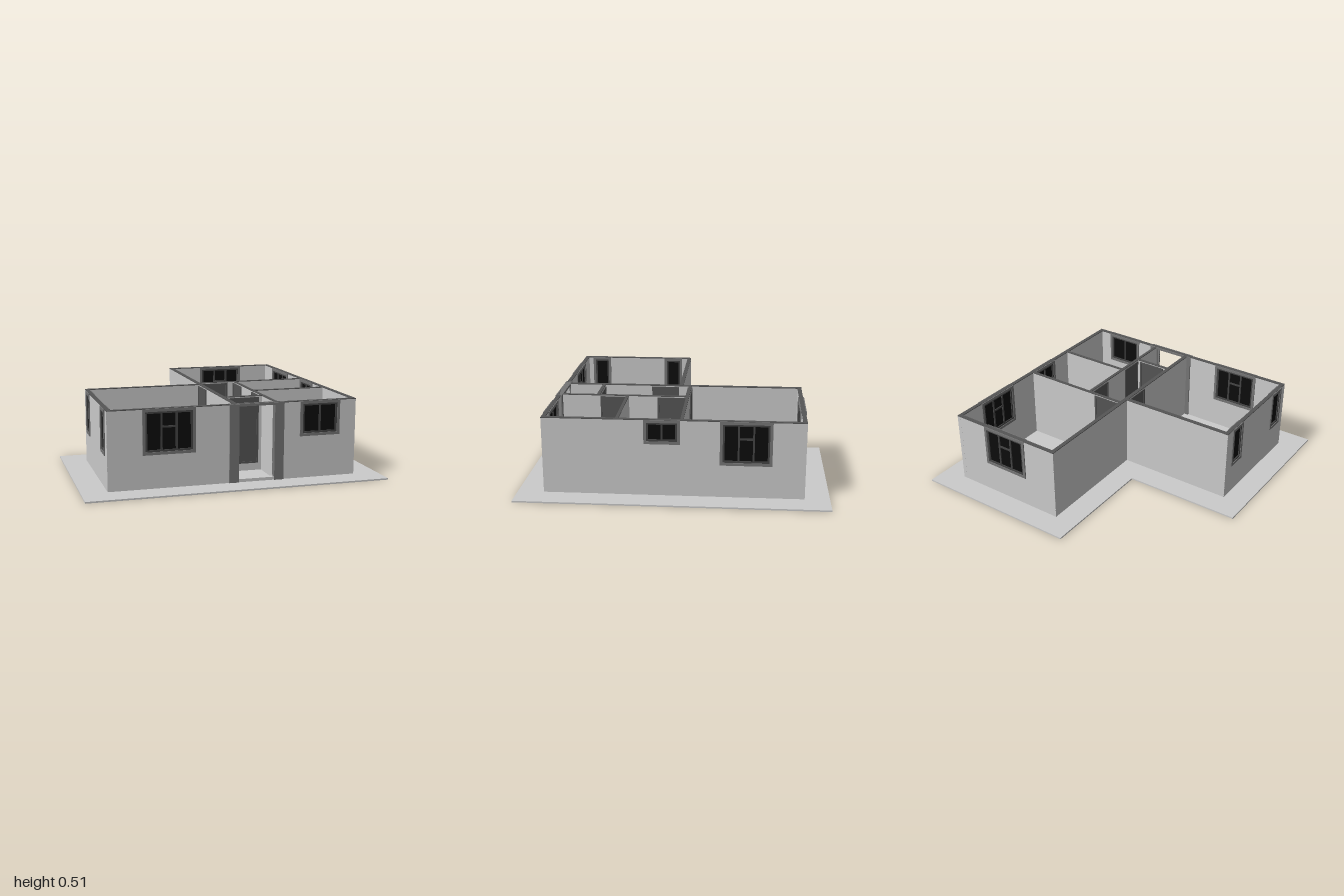
import * as THREE from 'three';

const TOP = 0.515, FLOOR = 0.01, CAP = 0.005;
const mat = (color) => new THREE.MeshStandardMaterial({ color, flatShading: true });

export function createModel() {
  const house = new THREE.Group();
  house.name = 'house';
  const plaster = mat(0xcccccc), capMat = mat(0x555555), trim = mat(0x757575);
  const sash = mat(0x444444), glass = mat(0x0c0c0c), doorMat = mat(0x555555);

  const add = (parent, name, geo, material) => {
    const mesh = new THREE.Mesh(geo, material);
    mesh.name = name;
    parent.add(mesh);
    return mesh;
  };
  // Box given by its u and y limits, centred in the wall thickness
  const panel = (parent, name, u0, u1, y0, y1, depth, material) => {
    const m = add(parent, name, new THREE.BoxGeometry(u1 - u0, y1 - y0, depth), material);
    m.position.set((u0 + u1) / 2, (y0 + y1) / 2, 0);
    return m;
  };
  const rect = (Type, u0, u1, y0, y1) => new Type([
    new THREE.Vector2(u0, y0), new THREE.Vector2(u1, y0),
    new THREE.Vector2(u1, y1), new THREE.Vector2(u0, y1)]);
  // Rectangular plate with rectangular holes, centred in depth
  const plate = (outer, holes, depth) => {
    const shape = rect(THREE.Shape, ...outer);
    holes.forEach((h) => shape.holes.push(rect(THREE.Path, ...h)));
    return new THREE.ExtrudeGeometry(shape, { depth, bevelEnabled: false }).translate(0, 0, -depth / 2);
  };

  // Window: outer trim, sash with panes, dark glass
  function addWindow(wall, { u0, u1, y0, panes }, t) {
    const g = new THREE.Group();
    g.name = 'window';
    wall.add(g);
    const y1 = TOP - 0.002, b = 0.018, s = 0.012;
    const inner = [u0 + b, u1 - b, y0 + b, y1 - b];
    add(g, 'windowTrim', plate([u0, u1, y0, y1], [inner], t + 0.014), trim);
    const a0 = inner[0] + s, a1 = inner[1] - s, b0 = inner[2] + s, b1 = inner[3] - s;
    const w = (a1 - a0 - s * (panes - 1)) / panes;
    const holes = [];
    for (let i = 0; i < panes; i++) {
      const p = a0 + i * (w + s);
      if (panes === 3 && i === 1) {
        const split = b0 + (b1 - b0) * 0.63;
        holes.push([p, p + w, b0, split - s / 2], [p, p + w, split + s / 2, b1]);
      } else holes.push([p, p + w, b0, b1]);
    }
    add(g, 'windowSash', plate(inner, holes, t + 0.004), sash);
    panel(g, 'windowGlass', ...inner, t * 0.6, glass);
  }

  // Inner door: closed leaf inside a narrow frame
  function addDoor(wall, { u0, u1, y0, y1 }, t) {
    const g = new THREE.Group();
    g.name = 'innerDoor';
    wall.add(g);
    const b = 0.012;
    add(g, 'doorFrame', plate([u0, u1, y0, y1], [[u0 + b, u1 - b, y0 + b, y1 - b]], t + 0.014), doorMat);
    panel(g, 'doorLeaf', u0 + b, u1 - b, y0 + b, y1 - b, t + 0.006, doorMat);
  }

  // Open entrance with wide jambs, thin lintel and a sill
  function addEntrance(wall, { u0, u1, y0, y1 }, t) {
    const g = new THREE.Group();
    g.name = 'entrance';
    wall.add(g);
    panel(g, 'jamb', u0 - 0.063, u0, FLOOR, TOP, t + 0.016, trim);
    panel(g, 'jamb', u1, u1 + 0.063, FLOOR, TOP, t + 0.016, trim);
    panel(g, 'lintel', u0, u1, y1, TOP, t + 0.016, trim);
    panel(g, 'sill', u0, u1, FLOOR, y0, t + 0.004, plaster);
  }

  // Wall along x or z from u0 to u1, centred on 'at' in the other direction
  function addWall(name, axis, u0, u1, at, t, openings = []) {
    const g = new THREE.Group();
    g.name = name;
    house.add(g);
    if (axis === 'x') g.position.z = at;
    else {
      g.position.x = at;
      g.rotation.y = -Math.PI / 2;
    }
    const holes = openings.map((o) => (o.kind === 'window'
      ? [o.u0 + 0.01, o.u1 - 0.01, o.y0 + 0.01, TOP - 0.012]
      : o.kind === 'door' ? [o.u0 + 0.005, o.u1 - 0.005, o.y0 + 0.005, o.y1 - 0.005]
        : [o.u0, o.u1, o.y0, o.y1]));
    add(g, 'wallPanel', plate([u0, u1, FLOOR, TOP - CAP], holes, t), plaster);
    panel(g, 'wallTop', u0, u1, TOP - CAP, TOP, t, capMat);
    const build = { window: addWindow, door: addDoor, entrance: addEntrance };
    openings.forEach((o) => build[o.kind](g, o, t));
  }
  const win = (u0, u1, y0, panes) => ({ kind: 'window', u0, u1, y0, panes });
  const door = (u0, u1) => ({ kind: 'door', u0, u1, y0: 0.06, y1: 0.505 });

  // L-shaped ground slab
  const outline = [[-0.985, -1], [0.98, -1], [0.98, 1], [-0.175, 1], [-0.175, 0.18], [-0.985, 0.18]];
  const slab = new THREE.Shape(outline.map(([x, y]) => new THREE.Vector2(x, y)));
  const slabGeo = new THREE.ExtrudeGeometry(slab, { depth: FLOOR, bevelEnabled: false });
  add(house, 'groundSlab', slabGeo.rotateX(-Math.PI / 2), plaster);

  // Outer walls
  const T = 0.027, t = 0.021;
  addWall('frontWall', 'x', -0.82, 0.815, 0.817, T, [
    win(-0.6, -0.263, 0.225, 3), win(0.43, 0.703, 0.285, 2),
    { kind: 'entrance', u0: 0.02, u1: 0.257, y0: 0.03, y1: 0.5 }]);
  addWall('eastWall', 'z', -0.84, 0.83, 0.802, T, [win(-0.63, -0.3, 0.225, 3), win(-0.05, 0.18, 0.355, 2)]);
  addWall('backWall', 'x', -0.013, 0.815, -0.826, T, [win(0.23, 0.57, 0.225, 3)]);
  addWall('westWall', 'z', -0.01, 0.83, -0.807, T, [win(0.06, 0.2, 0.225, 1), win(0.63, 0.77, 0.225, 1)]);
  addWall('notchWall', 'x', -0.82, 0.01, 0.003, T);
  addWall('spineWall', 'z', -0.84, 0.83, 0.001, T, [door(0.02, 0.21)]);

  // Inner partitions
  addWall('hallBackPartition', 'x', 0.01, 0.795, -0.06, t, [door(0.025, 0.22)]);
  addWall('hallSidePartition', 'z', -0.06, 0.81, 0.276, t, [door(-0.045, 0.145), door(0.365, 0.535)]);
  addWall('roomPartition', 'x', 0.28, 0.795, 0.35, t);
  addWall('porchPartition', 'x', 0.01, 0.27, 0.552, t, [door(0.04, 0.243)]);

  return house;
}
